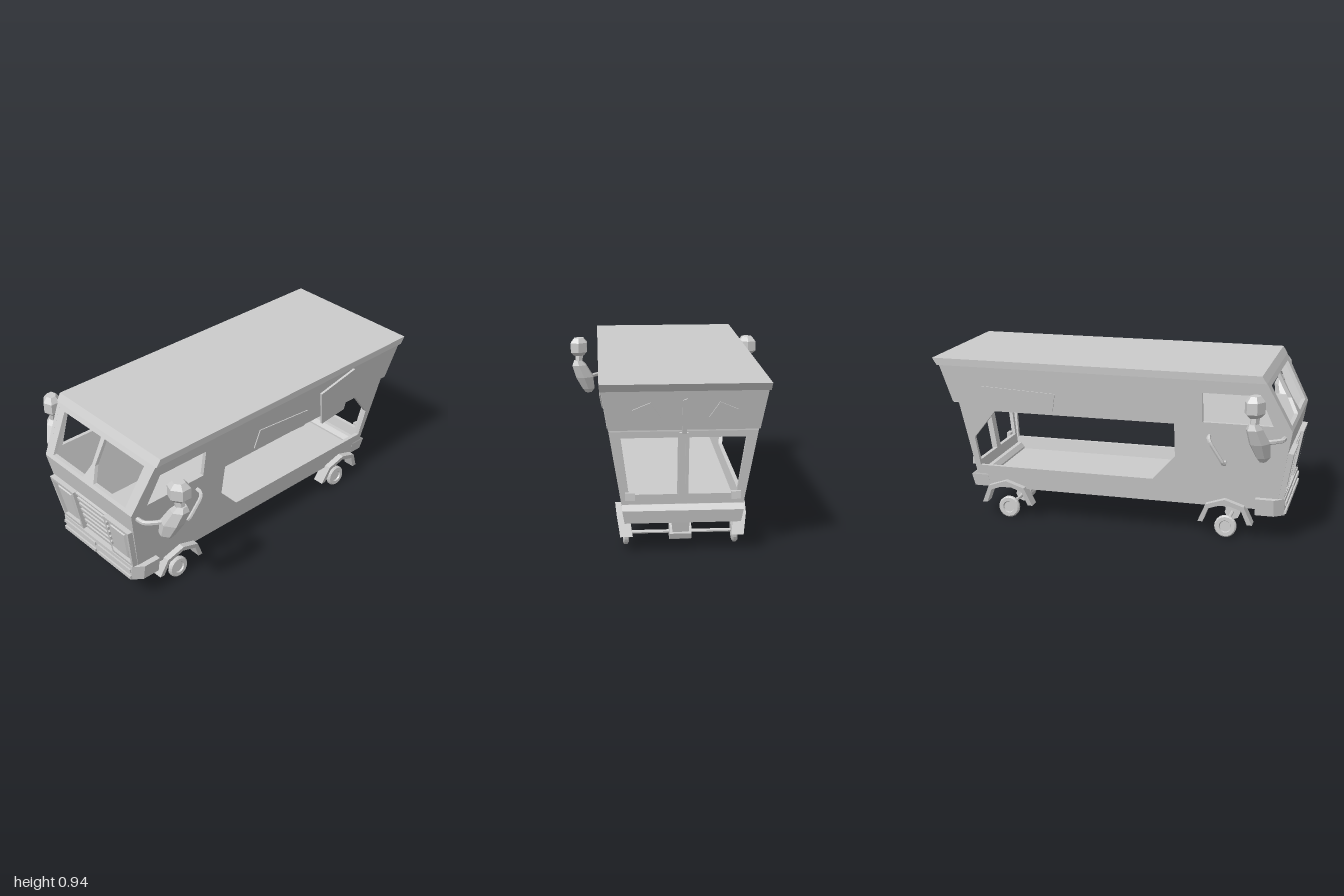
import * as THREE from 'three';

const mat = new THREE.MeshStandardMaterial({ color: 0xcccccc, flatShading: true });
const WALL = 0.022;
const halfWidth = y => 0.27 + 0.155 * y;            // sides lean outwards
const noseZ = y => 0.99 - (0.64 - y) * 0.18;        // lower front face
const screenZ = y => 0.99 - (y - 0.64) * 0.52;      // windscreen face
const tailZ = y => -0.80 - (y - 0.27) * 0.167;      // lower rear face
const overhangZ = y => -0.905 - (y - 0.69) * 0.286; // upper rear face

export function createModel() {
  const model = new THREE.Group();
  model.name = 'van';

  function add(name, geo, parent = model) {
    const mesh = new THREE.Mesh(geo, mat);
    mesh.name = name;
    parent.add(mesh);
    return mesh;
  }
  function box(name, w, h, d, x, y, z, rx = 0, rz = 0) {
    const m = add(name, new THREE.BoxGeometry(w, h, d));
    m.position.set(x, y, z);
    m.rotation.set(rx, 0, rz);
    return m;
  }
  // Extrude an outline with holes, then move every vertex by a rule
  function plate(name, outline, holes, depth, rule) {
    const toPts = a => a.map(p => new THREE.Vector2(p[0], p[1]));
    const shape = new THREE.Shape(toPts(outline));
    holes.forEach(h => shape.holes.push(new THREE.Path(toPts(h))));
    const geo = new THREE.ExtrudeGeometry(shape, { depth, bevelEnabled: false });
    const p = geo.attributes.position;
    for (let i = 0; i < p.count; i++) p.setXYZ(i, ...rule(p.getX(i), p.getY(i), p.getZ(i)));
    geo.computeVertexNormals();
    return add(name, geo);
  }
  // Plate on a side wall, outline in (z, y); "out" lifts its outer face off the wall
  function sidePlate(name, s, outline, holes, depth, out = 0) {
    const flip = a => a.map(([z, y]) => [-z, y]);
    return plate(name, flip(outline), holes.map(flip), depth, (u, y, w) =>
      [s * (halfWidth(y) + out) + (s > 0 ? w - depth : w), y, -u]);
  }
  // Stack of rings from top to bottom: [y, centre x, centre z, radius x, radius z]
  function loft(name, levels, sides, parent) {
    const rows = levels.length - 1;
    const geo = new THREE.CylinderGeometry(1, 1, 1, sides, rows, false, Math.PI / sides).toNonIndexed();
    const p = geo.attributes.position;
    for (let i = 0; i < p.count; i++) {
      const [y, cx, cz, rx, rz] = levels[Math.round((0.5 - p.getY(i)) * rows)];
      p.setXYZ(i, cx + p.getX(i) * rx, y, cz + p.getZ(i) * rz);
    }
    geo.computeVertexNormals();
    return add(name, geo, parent);
  }
  const tube = (name, pts, r) => add(name, new THREE.TubeGeometry(
    new THREE.CatmullRomCurve3(pts.map(p => new THREE.Vector3(...p)), false, 'catmullrom', 0.2), 16, r, 6));
  const mirrorX = (a, s) => a.map(([x, y]) => [s * x, y]);
  // Symmetric four-cornered outline between two heights
  const band = (y0, y1, inset = 0) => {
    const a = halfWidth(y0) - inset, b = halfWidth(y1) - inset;
    return [[-a, y0], [a, y0], [b, y1], [-b, y1]];
  };

  // Roof and floor
  loft('roof', [[0.94, 0, -0.085, 0.42 * Math.SQRT2, 0.915 * Math.SQRT2],
    [0.9, 0, -0.06, 0.417 * Math.SQRT2, 0.915 * Math.SQRT2]], 4);
  loft('floor', [[0.24, 0, 0.05, 0.30 * Math.SQRT2, 0.85 * Math.SQRT2],
    [0.18, 0, 0.05, 0.293 * Math.SQRT2, 0.85 * Math.SQRT2]], 4);

  // Side walls with cab window and long opening
  const wall = [[0.855, 0.9], [0.99, 0.64], [0.92, 0.25], [0.908, 0.18], [-0.815, 0.18],
    [-0.83, 0.25], [-0.80, 0.27], [-0.87, 0.69], [-0.905, 0.69], [-0.965, 0.9]];
  const cabWindow = [[0.82, 0.83], [0.515, 0.83], [0.515, 0.665], [0.89, 0.665]];
  const opening = [[0.36, 0.645], [-0.66, 0.645], [-0.795, 0.48], [-0.775, 0.31], [0.23, 0.31], [0.36, 0.455]];
  for (const s of [1, -1]) sidePlate('sideWall', s, wall, [cabWindow, opening], WALL);

  // Loose panels fixed to the sides
  sidePlate('sidePanel', 1, [[0.13, 0.785], [-0.24, 0.75], [-0.23, 0.645], [0.155, 0.67]], [], 0.014, 0.006);
  sidePlate('hatchPanel', 1, [[-0.325, 0.825], [-0.58, 0.89], [-0.555, 0.615], [-0.38, 0.59]], [], 0.014, 0.014);
  sidePlate('sidePanel', -1, [[-0.3, 0.77], [-0.72, 0.79], [-0.7, 0.66], [-0.32, 0.66]], [], 0.014, 0.006);

  // Windscreen frame and nose
  const pane = [[0.015, 0.875], [0.335, 0.875], [0.31, 0.66], [0.045, 0.66], [0.012, 0.74]];
  plate('windscreenFrame', band(0.64, 0.9), [pane, mirrorX(pane, -1)], WALL,
    (x, y, w) => [x, y, screenZ(y) + w - WALL]);
  plate('nose', band(0.18, 0.64), [], WALL, (x, y, w) => [x, y, noseZ(y) + w - WALL]);

  // Headlights: frame with a raised lens inside
  const frame = [[0.13, 0.515], [0.34, 0.515], [0.305, 0.25], [0.13, 0.25]];
  const lens = [[0.145, 0.497], [0.322, 0.497], [0.291, 0.268], [0.145, 0.268]];
  for (const s of [1, -1]) {
    plate('headlightFrame', mirrorX(frame, s), [mirrorX(lens, s)], 0.03, (x, y, w) => [x, y, noseZ(y) + w]);
    plate('headlightLens', mirrorX(lens, s), [], 0.025, (x, y, w) => {
      const k = w > 0.01 ? 0.62 : 0.9;
      const yy = 0.383 + (y - 0.383) * (w > 0.01 ? 0.76 : 0.92);
      return [s * 0.225 + (x - s * 0.225) * k, yy, noseZ(yy) + w];
    });
  }
  // Grille bars
  for (let i = 0; i < 6; i++) {
    const y = 0.477 - i * 0.0385;
    box('grilleBar', 0.24 - i * 0.005, 0.02, 0.03, 0, y, noseZ(y) + 0.003, 0.18);
  }
  box('grilleTop', 0.26, 0.012, 0.02, 0, 0.508, noseZ(0.508) + 0.005, 0.18);

  // Front bumper wrapping the corners
  const bumper = [[-0.342, 0.8], [-0.342, 0.9], [-0.3, 0.955], [0.3, 0.955], [0.342, 0.9], [0.342, 0.8],
    [0.285, 0.8], [0.285, 0.9], [-0.285, 0.9], [-0.285, 0.8]];
  plate('frontBumper', bumper.map(([x, z]) => [x, -z]), [], 0.095,
    (x, v, w) => [x * (0.955 + w * 0.47), 0.155 + w, -v]);
  for (const s of [1, -1]) for (const y of [0.175, 0.22])
    box('bumperBar', 0.28, 0.02, 0.014, s * 0.152, y, 0.957);

  // Rear: overhang, ledge, door frames and bumper
  plate('rearOverhang', band(0.69, 0.9), [], WALL, (x, y, w) => [x, y, overhangZ(y) + w]);
  box('rearLedge', 0.74, 0.025, 0.06, 0, 0.695, -0.873);
  const rearPane = [[0.028, 0.33], [0.275, 0.33], [0.315, 0.64], [0.028, 0.64]];
  plate('rearDoors', band(0.25, 0.69), [rearPane, mirrorX(rearPane, -1)], WALL, (x, y, w) => [x, y, tailZ(y) + w]);
  loft('rearBumper', [[0.275, 0, -0.78, 0.31 * Math.SQRT2, 0.025 * Math.SQRT2],
    [0.25, 0, -0.785, 0.31 * Math.SQRT2, 0.05 * Math.SQRT2],
    [0.18, 0, -0.775, 0.298 * Math.SQRT2, 0.045 * Math.SQRT2]], 4);
  for (const s of [1, -1]) {
    box('rearLatch', 0.05, 0.04, 0.025, s * 0.27, 0.325, -0.82);
    box('doorRod', 0.012, 0.36, 0.014, s * 0.016, 0.49, tailZ(0.49) - 0.006, -0.165);
  }
  plate('rearRod', [[-0.012, 0.67], [0.012, 0.67], [0.012, 0.85], [-0.012, 0.86]], [], 0.014,
    (x, y, w) => [x, y, overhangZ(y) - 0.012 + w]);
  const flap = [[0.12, 0.76], [0.22, 0.72], [0.26, 0.8], [0.17, 0.84]];
  for (const s of [1, -1]) plate('rearFlap', mirrorX(flap, s), [], 0.012,
    (x, y, w) => [x, y, overhangZ(y) - 0.01 + w]);

  // Wing mirrors and door handles
  for (const s of [1, -1]) {
    const mirror = new THREE.Group();
    mirror.name = 'wingMirror';
    mirror.position.set(s * 0.537, 0, 0.815);
    mirror.rotation.y = s * 0.6;
    model.add(mirror);
    const ring = (y, cx, r) => [y, s * cx, 0, r, r * 0.8];
    loft('upperMirror', [ring(0.865, 0, 0.035), ring(0.835, 0, 0.062), ring(0.775, 0, 0.062), ring(0.752, 0, 0.035)], 6, mirror);
    loft('mirrorNeck', [ring(0.765, -0.005, 0.028), ring(0.7, 0.005, 0.028)], 6, mirror);
    loft('lowerMirror', [ring(0.72, 0.01, 0.03), ring(0.69, 0, 0.052), ring(0.61, -0.04, 0.065),
      ring(0.53, -0.07, 0.045), ring(0.505, -0.07, 0.022)], 6, mirror);
    tube('mirrorArm', [[s * 0.355, 0.605, 0.95], [s * 0.41, 0.605, 0.945], [s * 0.45, 0.605, 0.9], [s * 0.475, 0.605, 0.85]], 0.013);
    tube('doorHandle', [[s * 0.335, 0.445, 0.635], [s * 0.375, 0.44, 0.635], [s * 0.39, 0.46, 0.625],
      [s * 0.405, 0.56, 0.565], [s * 0.395, 0.587, 0.552], [s * 0.355, 0.59, 0.55]], 0.011);
  }

  // Axles, wheels and angular mudguards
  const wheelProfile = [[0, -0.015], [0.05, -0.015], [0.061, -0.008], [0.061, 0.008], [0.054, 0.015],
    [0.034, 0.015], [0.03, 0.006], [0, 0.006]].map(p => new THREE.Vector2(...p));
  const arch = [[-0.15, 0.09], [-0.105, 0.195], [0, 0.232], [0.105, 0.195], [0.15, 0.09],
    [0.122, 0.09], [0.09, 0.172], [0, 0.205], [-0.09, 0.172], [-0.122, 0.09]];
  for (const z of [0.635, -0.62]) {
    add('axle', new THREE.CylinderGeometry(0.01, 0.01, 0.56, 8).rotateZ(Math.PI / 2)).position.set(0, 0.065, z);
    const hub = add('differential', new THREE.CylinderGeometry(0.045, 0.045, 0.116, 8).rotateZ(Math.PI / 2));
    hub.position.set(0, 0.065, z);
    loft('axleMount', [[0.19, 0, z, 0.05 * Math.SQRT2, 0.07 * Math.SQRT2],
      [0.06, 0, z, 0.042 * Math.SQRT2, 0.038 * Math.SQRT2]], 4);
    for (const s of [1, -1]) {
      const wheel = add('wheel', new THREE.LatheGeometry(wheelProfile, 20));
      wheel.rotation.z = -s * (Math.PI / 2 - 0.06);
      wheel.position.set(s * 0.285, 0.063, z);
      sidePlate('mudguard', s, arch.map(([a, y]) => [z + a, y]), [], 0.065, 0.036);
    }
  }
  return model;
}
